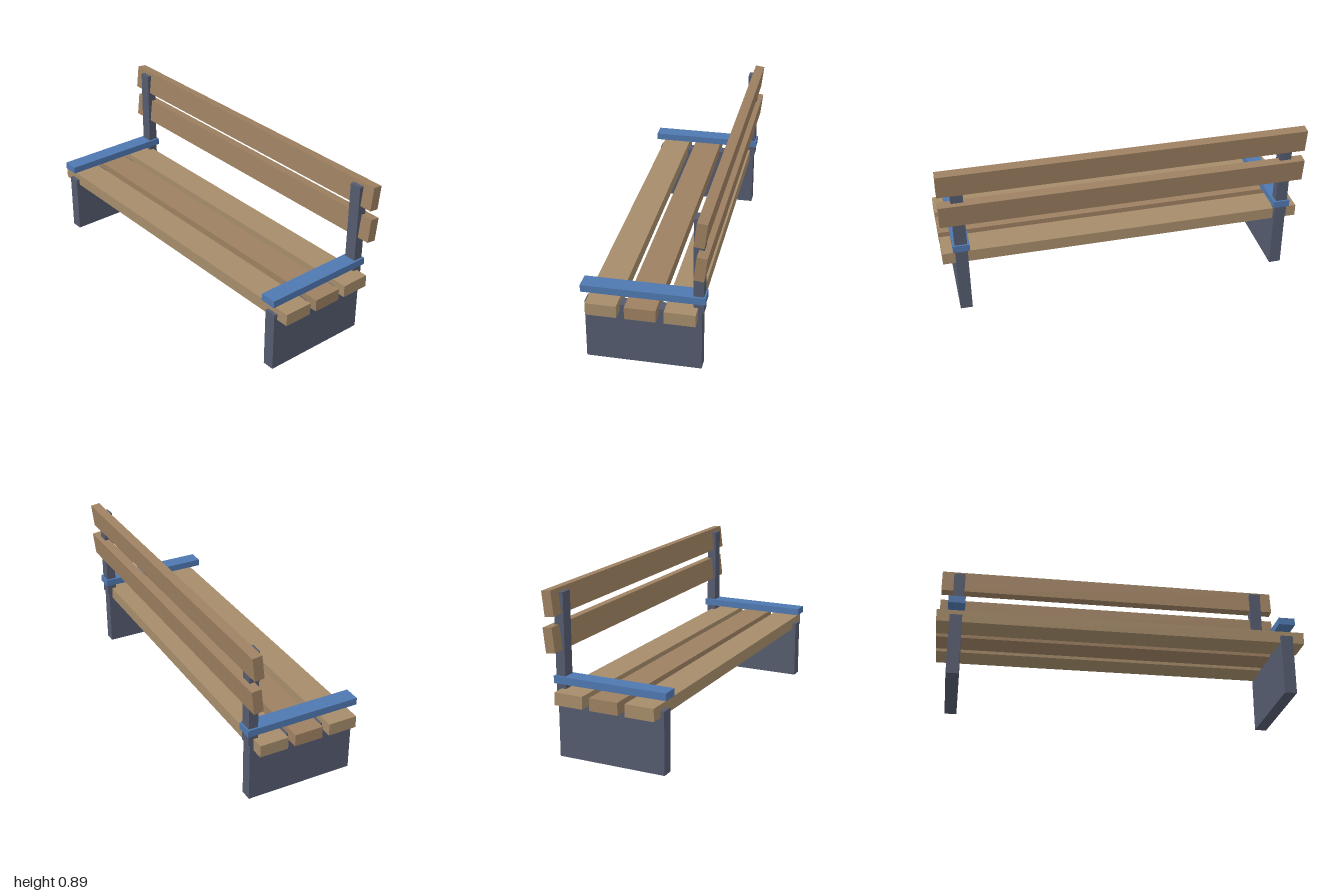
import * as THREE from 'three';

const paint = (color) => new THREE.MeshStandardMaterial({ color });

export function createModel() {
  const bench = new THREE.Group();
  bench.name = 'bench';
  const metal = paint(0x555b6e);
  const blue = paint(0x4f78b0);
  const paleWood = paint(0xa58c6a);
  const warmWood = paint(0x9d8061);

  function box(name, material, size, position, tilt = 0) {
    const mesh = new THREE.Mesh(new THREE.BoxGeometry(...size), material);
    mesh.name = name;
    mesh.position.set(...position);
    mesh.rotation.x = tilt;
    bench.add(mesh);
  }

  // Side panels, back posts and armrests, mirrored
  for (const [side, s] of [['left', 1], ['right', -1]]) {
    const x = s * 0.898;
    box(side + 'SidePanel', metal, [0.066, 0.334, 0.6], [x, 0.167, 0.01]);
    box(side + 'BackPost', metal, [0.066, 0.534, 0.053], [x, 0.601, -0.272]);
    box(side + 'Armrest', blue, [0.09, 0.039, 0.635], [x, 0.414, 0.01]);
  }

  // Seat slats, front to back
  [0.21, 0.01, -0.19].forEach((z, i) => {
    box('seatSlat' + (i + 1), i === 1 ? warmWood : paleWood, [2, 0.067, 0.16], [0, 0.334, z]);
  });

  // Backrest slats, leaning backwards
  [0.634, 0.82].forEach((y, i) => {
    box('backSlat' + (i + 1), warmWood, [2, 0.131, 0.053], [0, y, -0.291], -0.117);
  });

  return bench;
}
